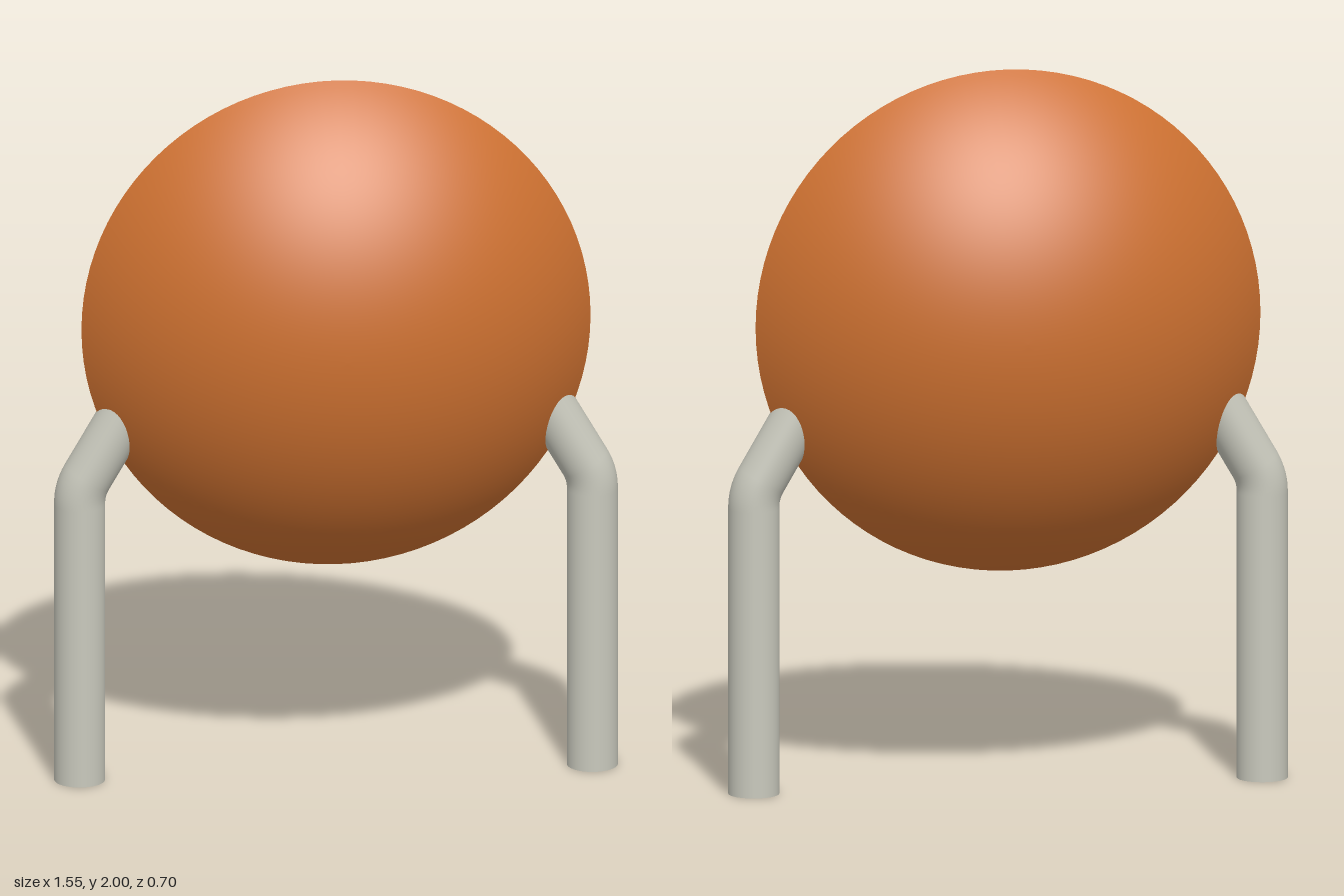
import * as THREE from 'three';

const DISC_RADIUS = 0.7, DISC_BULGE = 0.35, DISC_Y = 1.3;
const LEG_RADIUS = 0.07, LEG_X = 0.705;

// Half of the lens-shaped body: a spherical cap with a sharp rim
function domeGeometry() {
  const R = (DISC_RADIUS ** 2 + DISC_BULGE ** 2) / (2 * DISC_BULGE);
  const rimAngle = Math.asin(DISC_RADIUS / R);
  const profile = [];
  for (let i = 0; i <= 32; i++) {
    const a = rimAngle * (1 - i / 32);
    profile.push(new THREE.Vector2(R * Math.sin(a), R * Math.cos(a) - (R - DISC_BULGE)));
  }
  return new THREE.LatheGeometry(profile, 96);
}

// Upright pipe that bends 30 degrees inward and runs into the body
function createLeg(side, material) {
  const at = (x, y) => new THREE.Vector3(side * x, y, 0);
  const path = new THREE.CurvePath();
  const bendStart = at(LEG_X, 0.8), corner = at(LEG_X, 0.84), bendEnd = at(LEG_X - 0.02, 0.875);
  path.add(new THREE.LineCurve3(at(LEG_X, 0), bendStart));
  path.add(new THREE.QuadraticBezierCurve3(bendStart, corner, bendEnd));
  path.add(new THREE.LineCurve3(bendEnd, at(LEG_X - 0.175, 1.143)));

  const leg = new THREE.Group();
  const pipe = new THREE.Mesh(new THREE.TubeGeometry(path, 100, LEG_RADIUS, 40), material);
  pipe.name = 'legPipe';
  const foot = new THREE.Mesh(new THREE.CircleGeometry(LEG_RADIUS, 40), material);
  foot.name = 'legFoot';
  foot.rotation.x = Math.PI / 2;
  foot.position.x = side * LEG_X;
  leg.add(pipe, foot);
  leg.name = side > 0 ? 'leftLeg' : 'rightLeg';
  return leg;
}

export function createModel() {
  const model = new THREE.Group();
  const orange = new THREE.MeshStandardMaterial({ color: 0xcc7030 });
  const grey = new THREE.MeshStandardMaterial({ color: 0xc8c8bc });

  // Body: front and back domes meeting at the rim
  const body = new THREE.Group();
  body.name = 'body';
  body.position.y = DISC_Y;
  for (const side of [1, -1]) {
    const dome = new THREE.Mesh(domeGeometry(), orange);
    dome.name = side > 0 ? 'frontDome' : 'backDome';
    dome.rotation.x = side * Math.PI / 2;
    body.add(dome);
  }

  model.add(body, createLeg(1, grey), createLeg(-1, grey));
  return model;
}
